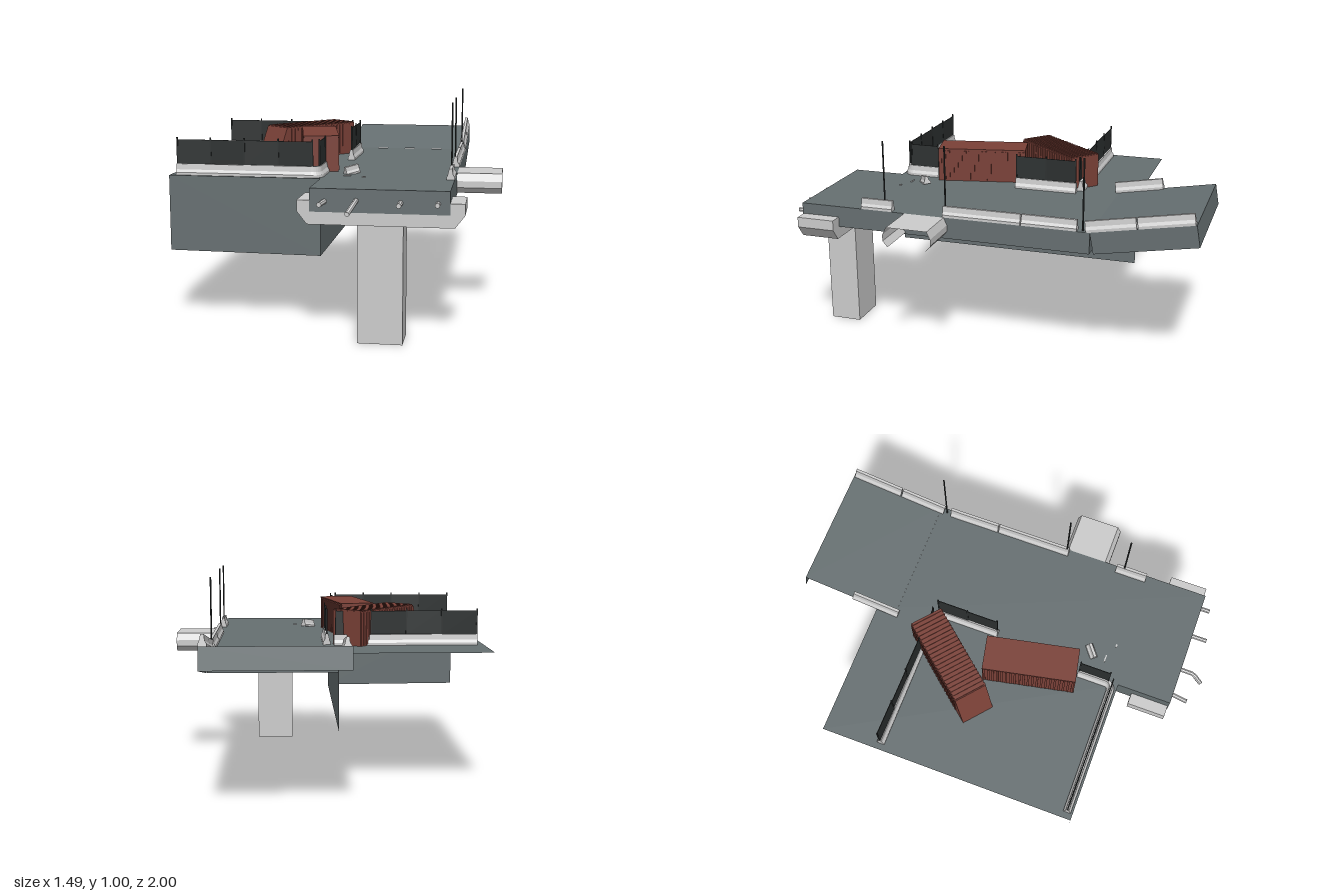
import * as THREE from 'three';

const mat = (color) => new THREE.MeshStandardMaterial({ color, side: THREE.DoubleSide, flatShading: true });
const road = mat(0x666f71), grey = mat(0xcccccc), rust = mat(0x7a4037), dark = mat(0x2c3030);
const DECK = 0.67;

function add(parent, name, geometry, material, x = 0, y = 0, z = 0) {
  const mesh = new THREE.Mesh(geometry, material);
  mesh.name = name;
  mesh.position.set(x, y, z);
  parent.add(mesh);
  return mesh;
}

function group(parent, name, x = 0, y = 0, z = 0) {
  const g = new THREE.Group();
  g.name = name;
  g.position.set(x, y, z);
  parent.add(g);
  return g;
}

const box = (parent, name, material, w, h, d, x, y, z) =>
  add(parent, name, new THREE.BoxGeometry(w, h, d), material, x, y, z);

// Joins equal cross-sections (arrays of [x, y, z]) into a surface
function loft(rings, closed) {
  const n = rings[0].length, index = [];
  for (let i = 0; i < rings.length - 1; i++) {
    for (let j = 0; j < (closed ? n : n - 1); j++) {
      const a = i * n + j, b = i * n + (j + 1) % n;
      index.push(a, b, a + n, b, b + n, a + n);
    }
  }
  if (closed) {
    for (const s of [0, (rings.length - 1) * n]) {
      for (let j = 1; j < n - 1; j++) index.push(s, s + (s ? j : j + 1), s + (s ? j + 1 : j));
    }
  }
  const g = new THREE.BufferGeometry();
  g.setAttribute('position', new THREE.Float32BufferAttribute(rings.flat(2), 3));
  g.setIndex(index);
  const flat = g.toNonIndexed();
  flat.computeVertexNormals();
  return flat;
}

// Four corners in counter-clockwise order seen from outside
const panel = (parent, name, a, b, c, d) => add(parent, name, loft([[a, b], [d, c]], false), road);

const BARRIER = [[0.018, 0], [0.018, 0.012], [0.01, 0.025], [0.007, 0.05],
  [-0.007, 0.05], [-0.01, 0.025], [-0.018, 0.012], [-0.018, 0]];

// Concrete barrier swept along a path of [x, z] points
function barrier(parent, path) {
  const rings = path.map(([x, z], i) => {
    const p = path[Math.max(i - 1, 0)], q = path[Math.min(i + 1, path.length - 1)];
    const l = Math.hypot(q[0] - p[0], q[1] - p[1]);
    const nx = -(q[1] - p[1]) / l, nz = (q[0] - p[0]) / l;
    return BARRIER.map(([w, y]) => [x + nx * w, y, z + nz * w]);
  });
  return add(parent, 'barrier', loft(rings, true), grey);
}

// Dark screen panels with posts standing on a barrier
function fence(parent, x1, z1, x2, z2, count) {
  const g = group(parent, 'fence', x1, 0, z1);
  const length = Math.hypot(x2 - x1, z2 - z1), step = length / count;
  g.rotation.y = Math.atan2(z1 - z2, x2 - x1);
  for (let i = 0; i <= count; i++) {
    box(g, 'fencePost', dark, 0.006, 0.125, 0.006, i * step, 0.108, 0);
    if (i < count) {
      const p = box(g, 'fencePanel', dark, step - 0.003, 0.112, 0.003, (i + 0.5) * step, 0.104, 0);
      p.rotation.x = (i % 2 ? 1 : -1) * 0.03;
    }
  }
}

// Shipping container lying along local x; slant cuts back one end
function container(parent, name, x, z, angle, length, slant, ribbedRoof) {
  const g = group(parent, name, x, DECK, z);
  g.rotation.y = angle;
  const W = 0.16, H = 0.162;
  const side = new THREE.Shape([[0, 0], [length, 0], [length, H], [slant, H]].map((p) => new THREE.Vector2(...p)));
  add(g, 'containerBody', new THREE.ExtrudeGeometry(side, { depth: W, bevelEnabled: false }), rust, 0, 0, -W / 2);
  const step = 0.021;
  for (let u = slant + step / 2; u < length - 0.005; u += step) {
    for (const s of [-1, 1]) box(g, 'sideRib', rust, step * 0.5, H - 0.012, 0.006, u, H / 2, s * W / 2);
    if (ribbedRoof) box(g, 'roofRib', rust, step * 0.5, 0.01, W - 0.004, u, H, 0);
  }
  if (!ribbedRoof) box(g, 'roofPlate', rust, length, 0.006, W + 0.006, length / 2, H + 0.002, 0);
}

export function createModel() {
  const model = new THREE.Group();
  model.name = 'brokenOverpass';

  // Main road deck: open underneath
  const L = -0.05, R = 0.54, F = 0.88, B = -0.52, lo = 0.57, T = DECK;
  const deck = group(model, 'roadDeck');
  panel(deck, 'deckTop', [L, T, F], [R, T, F], [R, T, B], [L, T, B]);
  panel(deck, 'deckFront', [L, lo, F], [R, lo, F], [R, T, F], [L, T, F]);
  panel(deck, 'deckRight', [R, lo, F], [R, lo, B], [R, T, B], [R, T, F]);
  panel(deck, 'deckLeft', [L, lo, 0.62], [L, lo, F], [L, T, F], [L, T, 0.62]);
  panel(deck, 'deckBack', [R, lo, B], [L, lo, B], [L, T, B], [R, T, B]);

  // Side platform with two retaining walls
  const P = -0.745, pf = 0.62, pb = -0.615, base = 0.32;
  const platform = group(model, 'sidePlatform');
  panel(platform, 'platformTop', [P, T, pf], [L, T, pf], [L, T, pb], [P, T, pb]);
  panel(platform, 'frontWall', [P, base + 0.005, pf], [L, base, pf], [L, T, pf], [P, T, pf]);
  panel(platform, 'innerWall', [L, base, pf], [L, base, pb], [L, T, pb], [L, T, pf]);

  // Raised ramp at the back with its own barriers
  const ramp = group(model, 'ramp', 0, DECK + 0.001, B);
  ramp.rotation.x = 0.175;
  const rl = -0.09, e = -0.47, h = -0.1;
  panel(ramp, 'rampTop', [rl, 0, 0], [R, 0, 0], [R, 0, e], [rl, 0, e]);
  panel(ramp, 'rampRight', [R, h, 0], [R, h, e], [R, 0, e], [R, 0, 0]);
  panel(ramp, 'rampBack', [R, h, e], [rl, h, e], [rl, 0, e], [R, 0, e]);
  barrier(ramp, [[0.522, 0.018], [0.522, -0.21]]);
  barrier(ramp, [[0.522, -0.216], [0.522, -0.465]]);
  barrier(ramp, [[-0.083, 0.015], [-0.083, -0.22]]);

  // Support: pillar and chamfered crossbeam
  box(model, 'pillar', grey, 0.195, 0.516, 0.15, 0.2475, 0.258, 0.785);
  const beam = new THREE.Shape([[-0.105, 0.618], [-0.105, 0.57], [-0.062, 0.515], [0.56, 0.515], [0.602, 0.57], [0.602, 0.618]]
    .map((p) => new THREE.Vector2(...p)));
  add(model, 'crossbeam', new THREE.ExtrudeGeometry(beam, { depth: 0.183, bevelEnabled: false }), grey, 0, 0, 0.693);

  // Open channel jutting from the left side
  const channel = [[0.17, 0.578], [0.147, 0.605], [0.147, 0.635], [0.163, 0.67],
    [0.357, 0.67], [0.375, 0.635], [0.375, 0.605], [0.352, 0.578]];
  add(model, 'sideChannel', loft([0.54, 0.745].map((x) => channel.map(([z, y]) => [x, y, z])), false), grey);

  // Barriers and fences on deck level
  const rails = group(model, 'rails', 0, DECK, 0);
  for (const [a, b] of [[-0.46, -0.205], [-0.2, 0.17], [0.42, 0.575]]) barrier(rails, [[0.522, a], [0.522, b]]);
  const corner = [[-0.715, 0.592]];
  for (let i = 0; i <= 6; i++) {
    const t = i / 6 * Math.PI / 2;
    corner.push([-0.095 + 0.032 * Math.sin(t), 0.56 + 0.032 * Math.cos(t)]);
  }
  barrier(rails, [...corner, [-0.063, 0.42]]);
  fence(rails, -0.712, 0.592, -0.09, 0.592, 4);
  fence(rails, -0.063, 0.57, -0.063, 0.425, 1);
  barrier(rails, [[-0.715, -0.333], [-0.04, -0.333]]);
  fence(rails, -0.712, -0.333, -0.05, -0.325, 4);
  barrier(rails, [[-0.008, -0.32], [-0.008, -0.01]]);
  fence(rails, -0.008, -0.315, -0.008, -0.015, 2);

  // Thin poles along the left rail
  for (const z of [0.46, 0.16, -0.485]) {
    add(model, 'pole', new THREE.CylinderGeometry(0.004, 0.004, 0.33, 6), dark, 0.52, DECK + 0.165, z);
  }

  // Containers
  container(model, 'ribbedContainer', -0.425, 0.045, 0.869, 0.504, 0.065, true);
  container(model, 'plainContainer', -0.083, 0.415, 1.777, 0.44, 0, false);

  // Rubble on the deck
  const rubble = group(model, 'rubble', 0.065, DECK, 0.445);
  rubble.rotation.set(0.1, 0.7, 0.1);
  barrier(rubble, [[-0.035, 0], [0.035, 0]]).scale.y = 0.75;
  box(model, 'chip', grey, 0.035, 0.004, 0.006, 0.055, DECK + 0.002, 0.52);
  box(model, 'chip', grey, 0.015, 0.004, 0.008, 0.135, DECK + 0.002, 0.55);

  // Broken pipes sticking out of the front edge
  const pipes = [
    [[0.015, 0.615, 0.87], [0.005, 0.613, 0.955]],
    [[0.148, 0.622, 0.87], [0.148, 0.618, 0.945], [0.128, 0.585, 0.992]],
    [[0.335, 0.617, 0.87], [0.335, 0.617, 0.955]],
    [[0.49, 0.617, 0.87], [0.49, 0.617, 0.925]],
  ];
  for (const points of pipes) {
    const path = new THREE.CurvePath();
    for (let i = 1; i < points.length; i++) {
      path.add(new THREE.LineCurve3(new THREE.Vector3(...points[i - 1]), new THREE.Vector3(...points[i])));
    }
    add(model, 'brokenPipe', new THREE.TubeGeometry(path, 8, 0.011, 8), grey);
    const end = points[points.length - 1];
    add(model, 'pipeEnd', new THREE.CircleGeometry(0.011, 8), grey, ...end);
  }
  return model;
}
